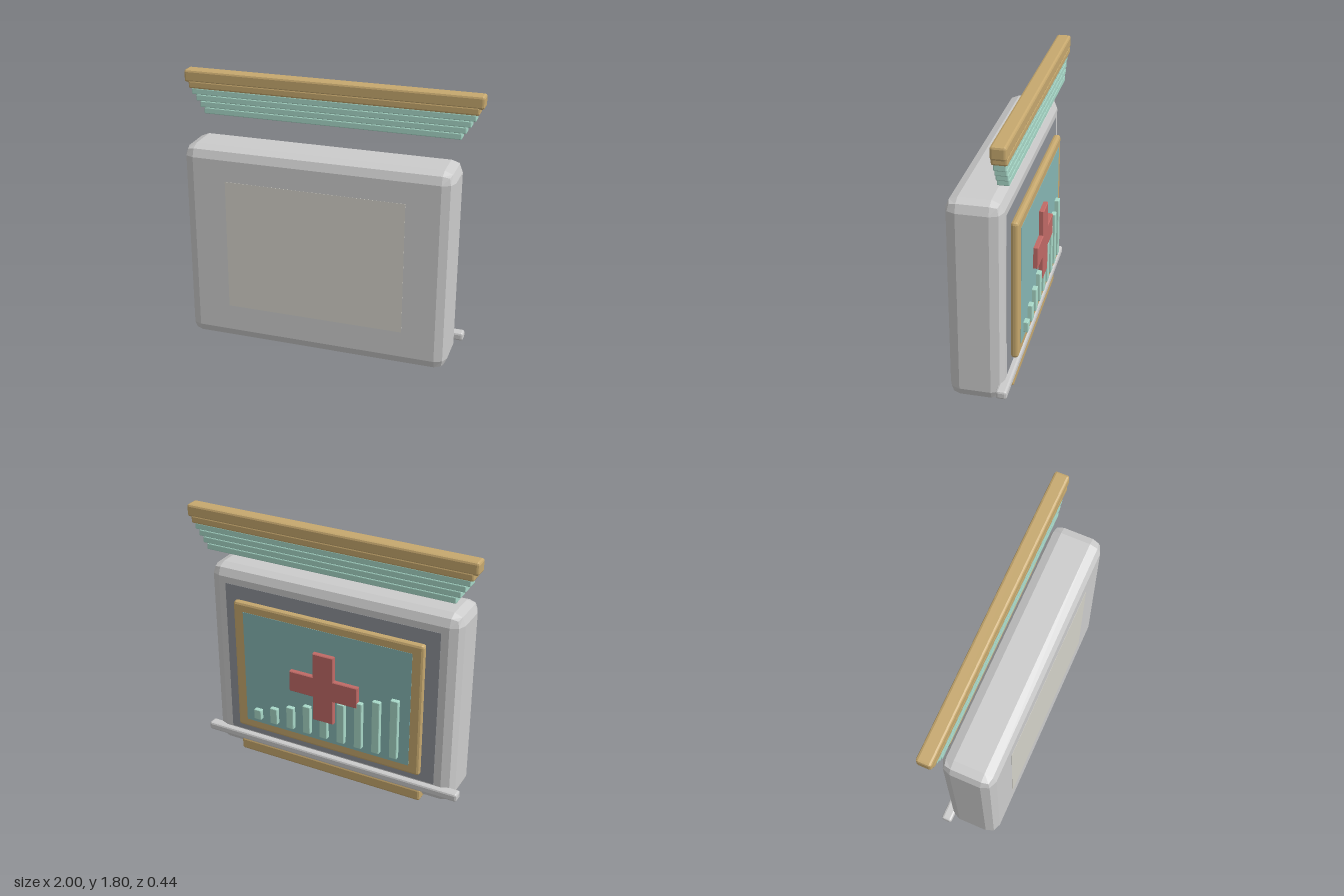
import * as THREE from 'three';

const TAN = 0xc6a86e, MINT = 0xa8d8c8, RED = 0xc06a66, GREY = 0xcccccc;
const TEAL = 0x86b6b4, SLATE = 0x8f9298, BEIGE = 0xd3d1c8;

// Box whose edges are rounded by two flat facets of radius r
function softBoxGeometry(w, h, d, r) {
  const g = new THREE.BoxGeometry(2, 2, 2, 3, 3, 3);
  const p = g.attributes.position;
  const dir = new THREE.Vector3();
  for (let i = 0; i < p.count; i++) {
    const c = [p.getX(i), p.getY(i), p.getZ(i)];
    dir.set(...c.map((v) => (Math.abs(v) > 0.9 ? Math.sign(v) : 0))).normalize().multiplyScalar(r);
    p.setXYZ(i,
      Math.sign(c[0]) * (w / 2 - r) + dir.x,
      Math.sign(c[1]) * (h / 2 - r) + dir.y,
      Math.sign(c[2]) * (d / 2 - r) + dir.z);
  }
  const flat = g.toNonIndexed();
  flat.computeVertexNormals();
  return flat;
}

export function createModel() {
  const model = new THREE.Group();
  model.name = 'displayCase';

  const add = (name, geometry, color, parent = model) => {
    const mesh = new THREE.Mesh(geometry, new THREE.MeshStandardMaterial({ color, flatShading: true }));
    mesh.name = name;
    parent.add(mesh);
    return mesh;
  };

  // Block given by its x, y and z ranges
  const block = (name, [x0, x1], [y0, y1], [z0, z1], r, color, parent) => {
    const size = [x1 - x0, y1 - y0, z1 - z0];
    const g = r > 0 ? softBoxGeometry(...size, r) : new THREE.BoxGeometry(...size);
    add(name, g, color, parent).position.set((x0 + x1) / 2, (y0 + y1) / 2, (z0 + z1) / 2);
  };

  // Main body with flush panels on its two large faces
  block('body', [-0.895, 0.895], [0.015, 1.39], [-0.132, 0.218], 0.075, GREY);
  block('frontPanel', [-0.6, 0.6], [0.27, 1.17], [0.2, 0.2195], 0, BEIGE);
  block('backBezel', [-0.77, 0.77], [0.155, 1.27], [-0.134, -0.12], 0, SLATE);

  // Framed screen on the back
  block('screenFrame', [-0.685, 0.685], [0.22, 1.18], [-0.185, -0.135], 0.018, TAN);
  block('screen', [-0.61, 0.61], [0.285, 1.115], [-0.187, -0.16], 0, TEAL);

  // Cross emblem
  const a = 0.07, b = 0.245;
  const cross = new THREE.Shape([
    [-a, -b], [a, -b], [a, -a], [b, -a], [b, a], [a, a],
    [a, b], [-a, b], [-a, a], [-b, a], [-b, -a], [-a, -a],
  ].map(([x, y]) => new THREE.Vector2(x, y)));
  const crossGeometry = new THREE.ExtrudeGeometry(cross, {
    depth: 0.03, bevelEnabled: true, bevelSize: 0.005, bevelThickness: 0.005, bevelSegments: 1,
  });
  add('cross', crossGeometry, RED).position.set(0, 0.705, -0.214);

  // Row of bars growing towards the right side
  const bars = new THREE.Group();
  bars.name = 'barRow';
  model.add(bars);
  for (let i = 0; i < 9; i++) {
    const x = 0.51 - i * 0.1275;
    block('bar', [x - 0.0275, x + 0.0275], [0.325, 0.4 + i * 0.045], [-0.217, -0.18], 0.005, MINT, bars);
  }

  // Tray under the body, with an inset underside
  block('tray', [-0.685, 0.685], [0.002, 0.09], [-0.157, 0.09], 0.015, TAN);
  block('trayInset', [-0.61, 0.61], [0, 0.03], [-0.115, 0.05], 0, TEAL);

  // Rod across the lower back
  block('rod', [-0.948, 0.948], [0.09, 0.147], [-0.17, -0.1], 0.014, GREY);

  // Stepped canopy floating above
  const canopy = new THREE.Group();
  canopy.name = 'canopy';
  model.add(canopy);
  block('canopyTop', [-1, 1], [1.715, 1.8], [-0.187, -0.09], 0.015, TAN, canopy);
  block('canopyLip', [-0.972, 0.972], [1.675, 1.73], [-0.187, -0.09], 0.012, TAN, canopy);
  for (let i = 0; i < 4; i++) {
    const w = 0.952 - i * 0.028, top = 1.677 - i * 0.042;
    block('canopyStep', [-w, w], [top - 0.043, top], [-0.174, -0.1], 0.006, MINT, canopy);
  }

  return model;
}
